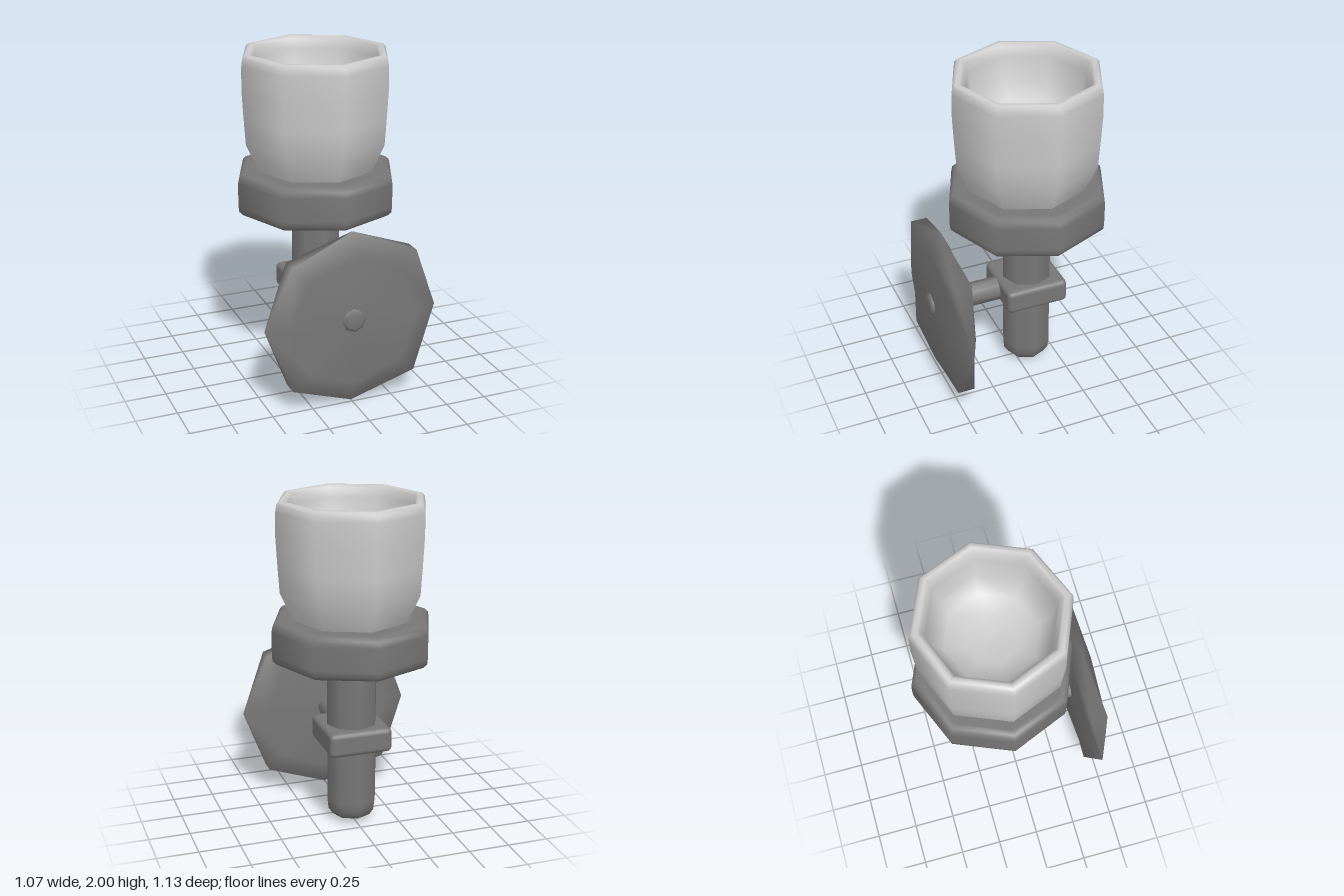
import * as THREE from 'three';
import { RoundedBoxGeometry } from 'three/addons/geometries/RoundedBoxGeometry.js';

const AXIS_Z = -0.077;
const grey = new THREE.MeshStandardMaterial({ color: 0xcccccc });
const dark = new THREE.MeshStandardMaterial({ color: 0x777777 });

// Eight-sided turned part from a bottom-to-top profile of [radius, height]
function turned(name, profile, material) {
  const points = profile.map(([r, y]) => new THREE.Vector2(r, y));
  const mesh = new THREE.Mesh(new THREE.LatheGeometry(points, 8), material);
  mesh.name = name;
  return mesh;
}

// Octagonal lens: thick at the diagonal corners, sharp at the four axis corners
function wallPlateGeometry() {
  const half = [
    { r: 0.0001, h: () => 0.067 },
    { r: 0.4, h: () => 0.062 },
    { r: 0.535, h: (i) => (i % 2 ? 0.051 : 0.002) },
  ];
  const rings = [...half, ...half.map((s) => ({ r: s.r, h: (i) => -s.h(i) })).reverse()];
  const positions = [];
  const index = [];
  rings.forEach(({ r, h }) => {
    for (let i = 0; i < 8; i++) {
      const a = (i * Math.PI) / 4;
      const k = i % 2 ? 1.015 : 1;
      positions.push(Math.cos(a) * r * k, Math.sin(a) * r * k, h(i));
    }
  });
  for (let s = 0; s < rings.length - 1; s++) {
    for (let i = 0; i < 8; i++) {
      const a = s * 8 + i;
      const b = s * 8 + ((i + 1) % 8);
      index.push(a, a + 8, b, b, a + 8, b + 8);
    }
  }
  const geometry = new THREE.BufferGeometry();
  geometry.setAttribute('position', new THREE.Float32BufferAttribute(positions, 3));
  geometry.setIndex(index);
  geometry.computeVertexNormals();
  return geometry;
}

export function createModel() {
  const model = new THREE.Group();
  model.name = 'wallTorch';

  // Upright parts sharing one axis
  const upright = new THREE.Group();
  upright.name = 'torch';
  upright.position.z = AXIS_Z;
  upright.add(
    turned('post', [
      [0, 0.028], [0.1, 0.03], [0.122, 0.035], [0.148, 0.075],
      [0.155, 0.13], [0.155, 0.95], [0.15, 1.06],
    ], dark),
    turned('collar', [
      [0, 1.032], [0.42, 1.037], [0.462, 1.042], [0.485, 1.065],
      [0.489, 1.1], [0.489, 1.24], [0.482, 1.275], [0.462, 1.295],
      [0.43, 1.298], [0, 1.298],
    ], dark),
    turned('cup', [
      [0.34, 1.27], [0.36, 1.305], [0.435, 1.47], [0.445, 1.62],
      [0.455, 1.8], [0.453, 1.94], [0.447, 1.98], [0.43, 1.998],
      [0.405, 2], [0.385, 1.985], [0.365, 1.93], [0.34, 1.79],
      [0.27, 1.69], [0.15, 1.65], [0, 1.64],
    ], grey),
  );

  // Block clamped around the post
  const clamp = new THREE.Mesh(new RoundedBoxGeometry(0.39, 0.15, 0.39, 2, 0.03), dark);
  clamp.name = 'clamp';
  clamp.position.y = 0.555;
  upright.add(clamp);
  model.add(upright);

  // Rod through the plate, ending in a small bevelled knob
  const rod = turned('rod', [
    [0, 0], [0.073, 0], [0.073, 0.46], [0.07, 0.485], [0.05, 0.496], [0, 0.498],
  ], dark);
  rod.rotation.x = Math.PI / 2;
  rod.position.set(-0.013, 0.548, 0.067);
  model.add(rod);

  // Mounting plate
  const plate = new THREE.Mesh(wallPlateGeometry(), dark);
  plate.name = 'mountingPlate';
  plate.position.set(0, 0.535, 0.477);
  model.add(plate);

  return model;
}
